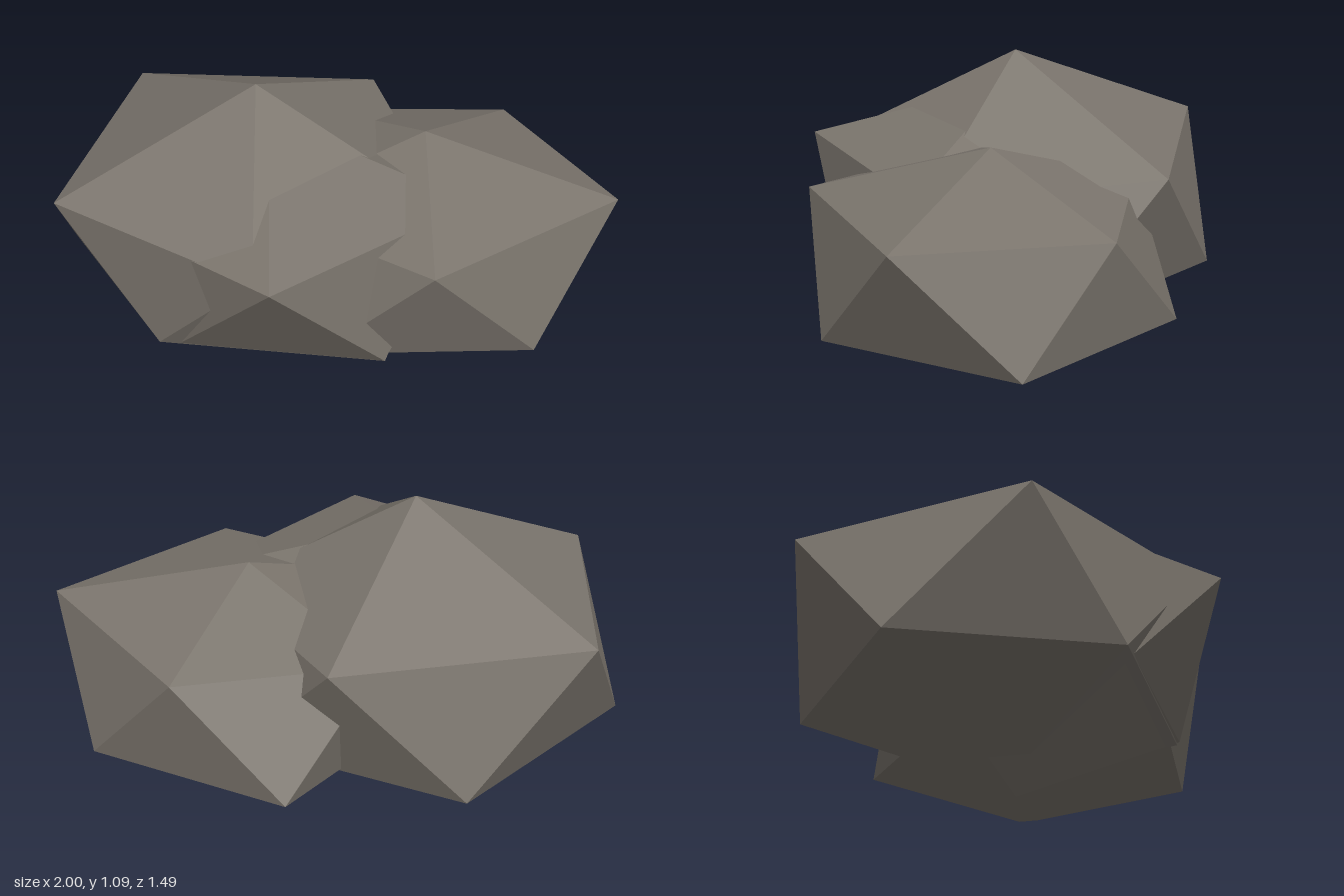
import * as THREE from 'three';

// A rough twenty-sided stone: top point, upper ring, lower ring, bottom point.
// Rings start near +x and turn towards +z; the lower ring sits half a step on.
function rock(name, { top, upper, lower, bottom }, material) {
  const corners = [];
  for (let i = 0; i < 5; i++) {
    const j = (i + 1) % 5;
    corners.push(top, upper[j], upper[i]);
    corners.push(upper[i], upper[j], lower[i]);
    corners.push(lower[i], upper[j], lower[j]);
    corners.push(bottom, lower[i], lower[j]);
  }
  const geometry = new THREE.BufferGeometry();
  geometry.setAttribute('position', new THREE.Float32BufferAttribute(corners.flat(), 3));
  geometry.computeVertexNormals();
  const mesh = new THREE.Mesh(geometry, material);
  mesh.name = name;
  return mesh;
}

export function createModel() {
  const stone = new THREE.MeshStandardMaterial({ color: 0x7b756d, flatShading: true });
  stone.name = 'warm grey stone';

  const group = new THREE.Group();
  group.name = 'rockCluster';

  // Large boulder on the right-hand side
  group.add(rock('largeRock', {
    top: [-0.25, 1.085, 0.04],
    upper: [[0.45, 0.7, 0.04], [-0.05, 0.735, 0.675], [-0.84, 0.755, 0.47], [-0.88, 0.77, -0.41], [-0.02, 0.755, -0.65]],
    lower: [[0.33, 0.3, 0.42], [-0.43, 0.335, 0.59], [-1, 0.28, 0.04], [-0.48, 0.3, -0.65], [0.33, 0.3, -0.38]],
    bottom: [-0.25, 0.03, 0.04],
  }, stone));

  // Stone buried in the large boulder, breaking out at the front and underneath
  group.add(rock('innerRock', {
    top: [-0.2, 0.97, 0.05],
    upper: [[0.53, 0.755, 0.05], [0.03, 0.755, 0.74], [-0.77, 0.71, 0.42], [-0.8, 0.71, -0.36], [-0.03, 0.7, -0.6]],
    lower: [[0.33, 0.31, 0.43], [-0.36, 0.335, 0.575], [-0.92, 0.3, 0.05], [-0.43, 0.32, -0.59], [0.34, 0.3, -0.36]],
    bottom: [-0.19, 0, 0.05],
  }, stone));

  // Smaller boulder leaning against the left side
  group.add(rock('smallRock', {
    top: [0.31, 0.89, -0.14],
    upper: [[1, 0.74, -0.14], [0.5, 0.72, 0.46], [-0.2, 0.7, 0.23], [-0.17, 0.7, -0.47], [0.49, 0.7, -0.67]],
    lower: [[0.81, 0.315, 0.23], [0.1, 0.315, 0.47], [-0.3, 0.315, -0.14], [0.11, 0.31, -0.745], [0.81, 0.315, -0.5]],
    bottom: [0.31, 0.105, -0.14],
  }, stone));

  return group;
}
